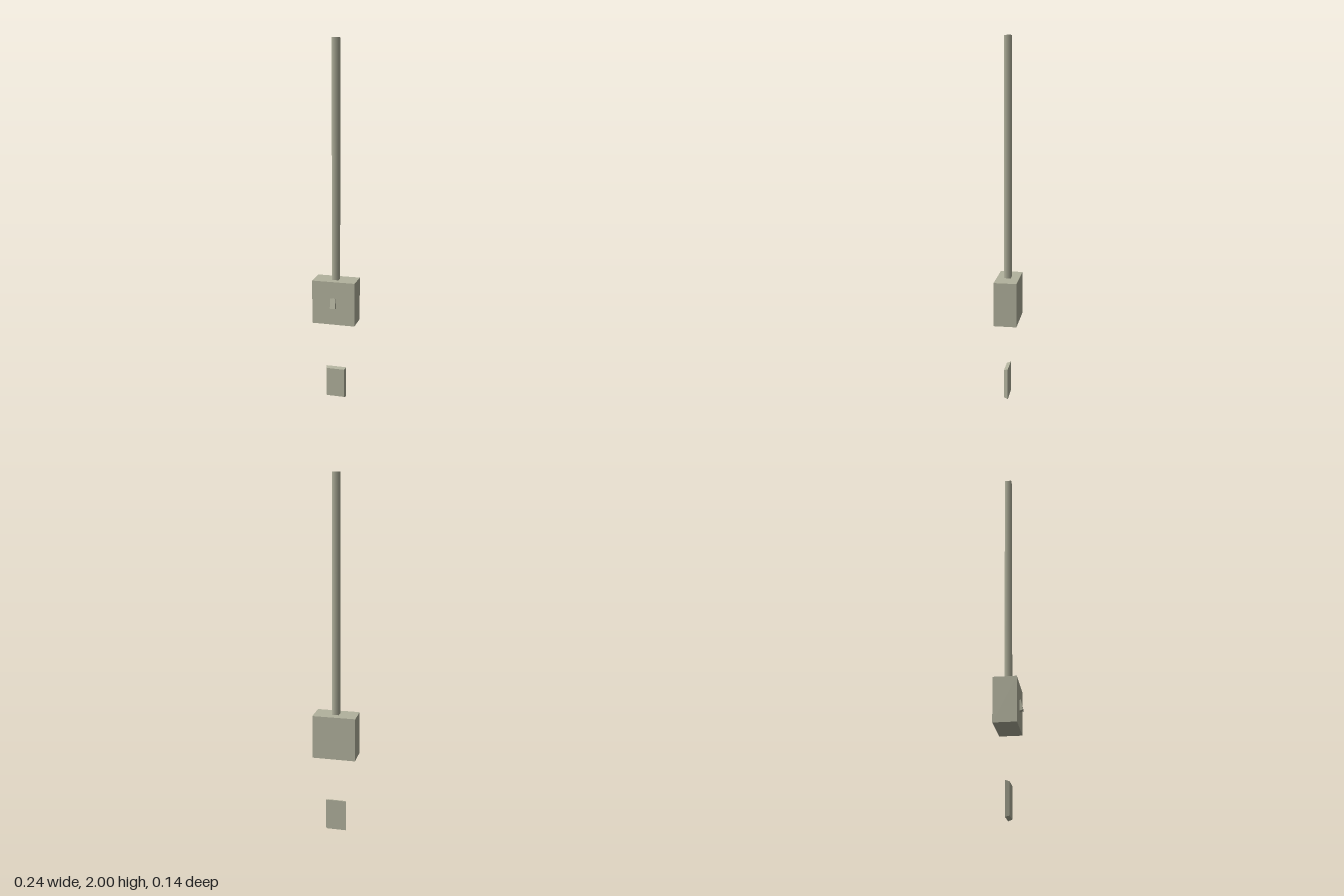
import * as THREE from 'three';

export function createModel() {
  const group = new THREE.Group();
  const paint = new THREE.MeshStandardMaterial({ color: 0xb2b29d });
  paint.name = 'greyBeige';
  const paintOpen = paint.clone();
  paintOpen.side = THREE.DoubleSide; // same colour, for the open conduit

  const add = (name, geometry, material, x, y, z) => {
    const mesh = new THREE.Mesh(geometry, material);
    mesh.name = name;
    mesh.position.set(x, y, z);
    group.add(mesh);
    return mesh;
  };

  // Switch box
  add('switchBox', new THREE.BoxGeometry(0.241, 0.245, 0.125), paint, 0, 0.5775, -0.0105);

  // Square conduit: open four-sided tube with smooth normals
  const tube = new THREE.CylinderGeometry(0.0265, 0.0265, 1.3, 4, 1, true);
  tube.rotateY(Math.PI / 4);
  add('conduit', tube, paintOpen, 0, 1.35, -0.008);

  // Tilted toggle, its lower end standing proud of the box
  const toggle = add('toggle', new THREE.BoxGeometry(0.03, 0.056, 0.036), paint, 0, 0.5762, 0.0478);
  toggle.rotation.x = -0.22;

  // Lower plate: the front face is narrower than the back, giving bevelled sides
  let plate = new THREE.BoxGeometry(0.116, 0.18, 0.022);
  const p = plate.attributes.position;
  for (let i = 0; i < p.count; i++) {
    if (p.getZ(i) > 0) {
      p.setX(i, p.getX(i) - Math.sign(p.getX(i)) * 0.007);
      p.setY(i, p.getY(i) - Math.sign(p.getY(i)) * 0.007);
    }
  }
  plate.computeVertexNormals();
  add('lowerPlate', plate, paint, 0, 0.09, -0.005);

  return group;
}
